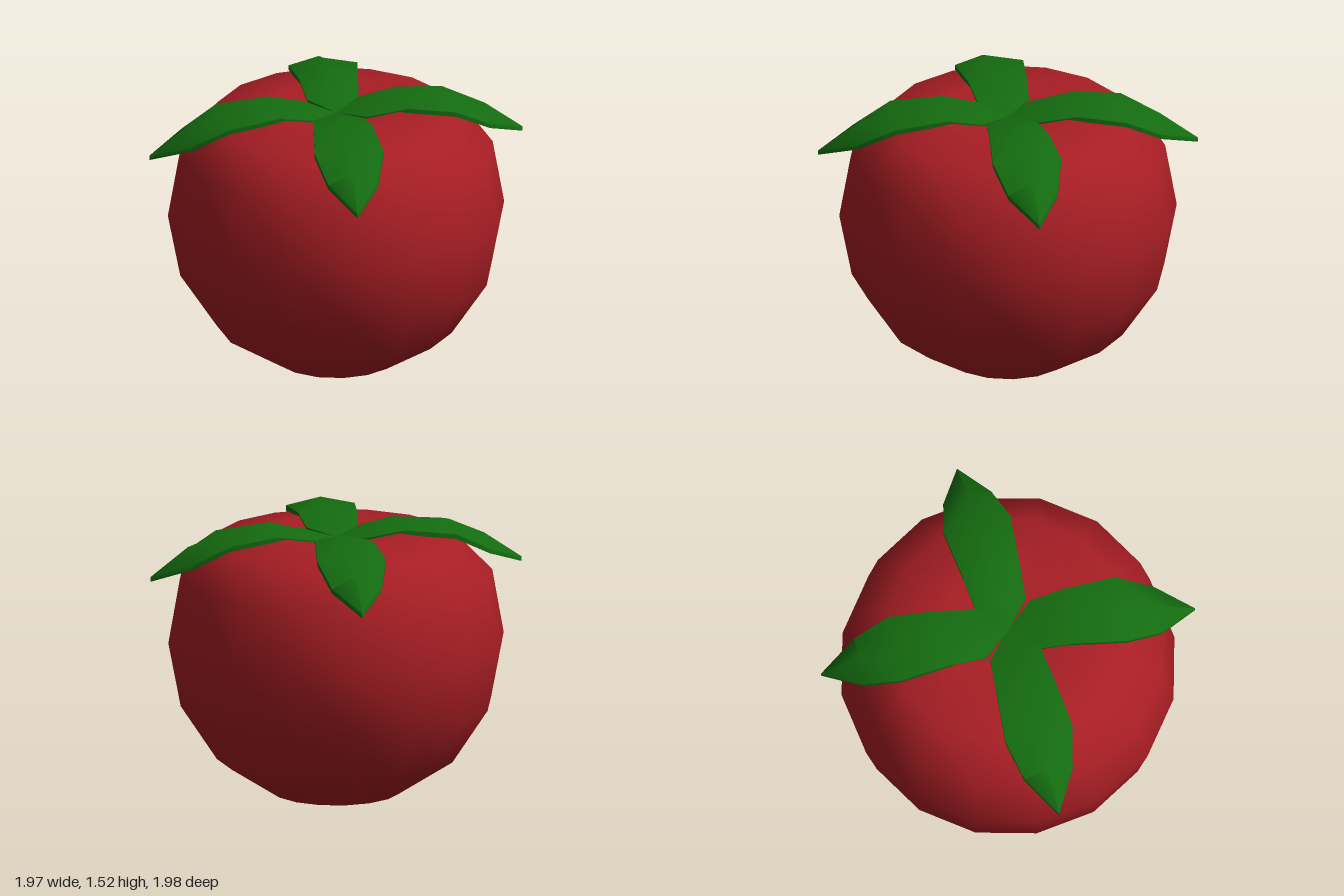
import * as THREE from 'three';
import { toCreasedNormals } from 'three/addons/utils/BufferGeometryUtils.js';

// Leaf running along +z, from stations of [distance, half width, ridge height, edge height]
function leafGeometry(stations, thickness = 0.025) {
  const positions = [], index = [], n = 6;
  for (const [r, w, ridge, edge] of stations) {
    const t = thickness;
    positions.push(-w, edge, r, 0, ridge, r, w, edge, r);
    positions.push(w, edge - t, r, 0, ridge - t, r, -w, edge - t, r);
  }
  for (let i = 0; i < stations.length - 1; i++) {
    for (let j = 0; j < n; j++) {
      const a = i * n + j, b = i * n + (j + 1) % n;
      index.push(a, a + n, b, a + n, b + n, b);
    }
  }
  const geometry = new THREE.BufferGeometry();
  geometry.setAttribute('position', new THREE.Float32BufferAttribute(positions, 3));
  geometry.setIndex(index);
  return toCreasedNormals(geometry, 1.0);
}

export function createModel() {
  const model = new THREE.Group();
  model.name = 'tomato';
  const red = new THREE.MeshStandardMaterial({ color: 0xa81e24 });
  const green = new THREE.MeshStandardMaterial({ color: 0x146c10, side: THREE.DoubleSide });

  // Fruit: round below, flattened and dimpled on top
  const profile = [
    [0, 0], [0.34, 0.065], [0.625, 0.25], [0.815, 0.54], [0.88, 0.88],
    [0.82, 1.22], [0.635, 1.41], [0.34, 1.46], [0, 1.39],
  ].map(([x, y]) => new THREE.Vector2(x, y));
  const fruit = new THREE.Mesh(new THREE.LatheGeometry(profile, 16), red);
  fruit.name = 'fruit';
  model.add(fruit);

  // Two leaf shapes: one arches close to the stem, the other lies flatter
  const arched = leafGeometry([
    [0, 0, 1.42, 1.42], [0.14, 0.135, 1.46, 1.44], [0.35, 0.155, 1.52, 1.475],
    [0.6, 0.18, 1.48, 1.445], [0.79, 0.13, 1.41, 1.345], [0.99, 0, 1.26, 1.26],
  ]);
  const flat = leafGeometry([
    [0, 0, 1.42, 1.42], [0.14, 0.135, 1.46, 1.44], [0.33, 0.155, 1.495, 1.475],
    [0.6, 0.18, 1.485, 1.445], [0.79, 0.13, 1.4, 1.345], [0.99, 0, 1.26, 1.26],
  ]);

  // Four leaves, the side pair turned slightly
  const skew = 0.087;
  const leaves = [
    ['frontLeaf', flat, 0], ['backLeaf', arched, Math.PI],
    ['leftLeaf', arched, Math.PI / 2 + skew], ['rightLeaf', flat, -Math.PI / 2 + skew],
  ];
  for (const [name, geometry, angle] of leaves) {
    const leaf = new THREE.Mesh(geometry, green);
    leaf.name = name;
    leaf.rotation.y = angle;
    model.add(leaf);
  }
  return model;
}
